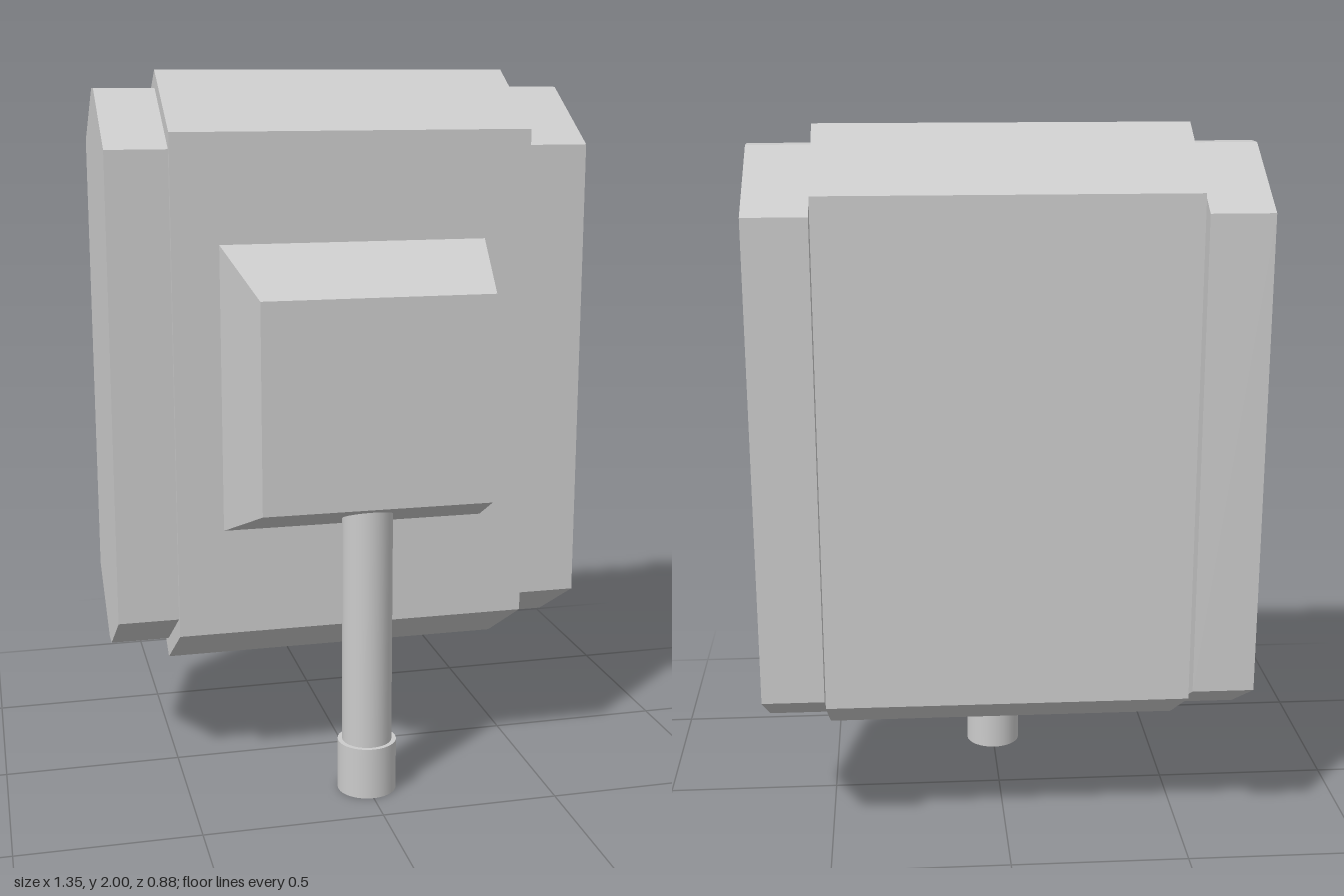
import * as THREE from 'three';

const grey = new THREE.MeshStandardMaterial({ color: 0xcccccc });

function part(name, geometry, x = 0, y = 0, z = 0) {
  const mesh = new THREE.Mesh(geometry, grey);
  mesh.name = name;
  mesh.position.set(x, y, z);
  return mesh;
}

// Extrudes a [z, y] side profile along x, starting at x = 0
function sideProfile(points, width) {
  const shape = new THREE.Shape(points.map(([z, y]) => new THREE.Vector2(-z, y)));
  return new THREE.ExtrudeGeometry(shape, { depth: width, bevelEnabled: false }).rotateY(Math.PI / 2);
}

export function createModel() {
  const model = new THREE.Group();
  model.name = 'model';

  // Main housing with pointed top and bottom
  model.add(part('housing', sideProfile([
    [0.157, 0.437], [0.157, 1.84], [-0.12, 2.0],
    [-0.385, 1.84], [-0.385, 0.437], [-0.12, 0.275],
  ], 1.01), -0.505));

  // End caps on both sides, with blunt tips
  const capGeometry = sideProfile([
    [0.14, 0.483], [0.14, 1.795], [-0.12, 1.95], [-0.18, 1.95],
    [-0.44, 1.795], [-0.44, 0.483], [-0.18, 0.333], [-0.12, 0.333],
  ], 0.17);
  model.add(part('leftEndCap', capGeometry, 0.505));
  model.add(part('rightEndCap', capGeometry, -0.675));

  // Front box tapering towards its face
  const box = new THREE.BoxGeometry(0.75, 0.8, 0.285);
  const p = box.attributes.position;
  for (let i = 0; i < p.count; i++) {
    if (p.getZ(i) > 0) p.setXY(i, p.getX(i) * 0.845, p.getY(i) * 0.7125);
  }
  box.computeVertexNormals();
  model.add(part('frontBox', box, 0, 1.14, 0.2995));

  // Pipe hanging from the box, with a collar at its foot
  model.add(part('pipe', new THREE.CylinderGeometry(0.07, 0.07, 0.77, 32), 0, 0.485, 0.312));
  model.add(part('pipeCollar', new THREE.CylinderGeometry(0.083, 0.083, 0.147, 32), 0, 0.0735, 0.312));

  return model;
}
